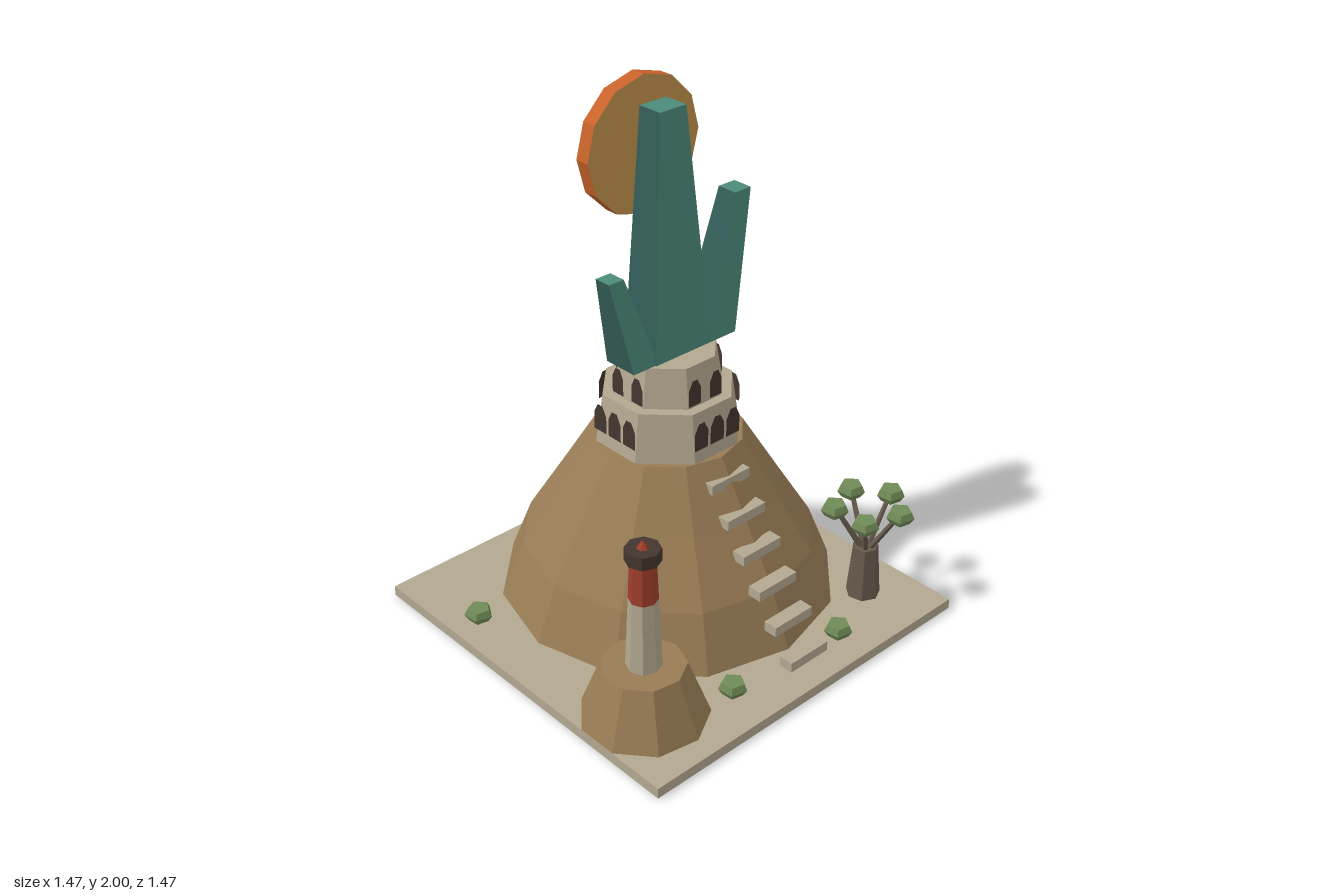
import * as THREE from 'three';

const mat = (name, color) => {
  const m = new THREE.MeshStandardMaterial({ color });
  m.name = name;
  return m;
};

export function createModel() {
  const model = new THREE.Group();
  const stone = mat('stone', 0xb3a891), earth = mat('earth', 0x997c55);
  const teal = mat('teal crystal', 0x4c8a7b), deepTeal = mat('deep teal', 0x345f59);
  const gold = mat('gold', 0xc1924d), rust = mat('rust orange', 0xc9632a);
  const dark = mat('dark brown', 0x43362f), red = mat('brick red', 0x9f3e2b);
  const leaf = mat('leaf green', 0x6f8a56), bark = mat('bark', 0x665a4b);
  dark.side = THREE.DoubleSide;

  // Faceted mesh: every face gets its own normal
  const add = (name, geo, material, x = 0, y = 0, z = 0, parent = model) => {
    const g = geo.index ? geo.toNonIndexed() : geo;
    g.computeVertexNormals();
    const mesh = new THREE.Mesh(g, material);
    mesh.name = name;
    mesh.position.set(x, y, z);
    parent.add(mesh);
    return mesh;
  };
  // Tapered prism standing from y0 to y1
  const prism = (name, rBottom, rTop, y0, y1, sides, material, x, z, turn = 0, parent = model) =>
    add(name, new THREE.CylinderGeometry(rTop, rBottom, y1 - y0, sides).rotateY(turn),
      material, x, (y0 + y1) / 2, z, parent);

  add('basePlate', new THREE.BoxGeometry(1.465, 0.04, 1.465), stone, 0, 0.02, 0);

  // Main hill
  const cx = 0.083, cz = -0.103;
  const hillProfile = [[0, 0.04], [0.631, 0.04], [0.548, 0.25], [0.411, 0.47], [0.279, 0.685], [0, 0.685]]
    .map(p => new THREE.Vector2(...p));
  add('hill', new THREE.LatheGeometry(hillProfile, 12), earth, cx, 0, cz);

  // Steps up the front of the hill
  for (let i = 0; i < 6; i++)
    add('step', new THREE.BoxGeometry(0.183, 0.038, 0.055), stone, cx, 0.065 + i * 0.108, 0.602 - i * 0.081);

  // Octagonal tiers; upright pointed windows stand just off the four main faces
  const tier = (name, y0, y1, a0, a1, count, spacing, w, h, sill) => {
    const group = new THREE.Group();
    group.name = name;
    group.position.set(cx, 0, cz);
    model.add(group);
    const k = 1 / Math.cos(Math.PI / 8);
    prism('tierWall', a0 * k, a1 * k, y0, y1, 8, stone, 0, 0, Math.PI / 8, group);
    const shape = new THREE.Shape([[-w / 2, 0], [w / 2, 0], [w / 2, h * 0.65], [w * 0.2, h], [-w * 0.2, h], [-w / 2, h * 0.65]]
      .map(p => new THREE.Vector2(...p)));
    for (let side = 0; side < 4; side++) {
      for (let i = 0; i < count; i++) {
        const geo = new THREE.ShapeGeometry(shape);
        geo.translate((i - (count - 1) / 2) * spacing, sill, a0 + 0.002);
        geo.rotateY(side * Math.PI / 2);
        add('window', geo, dark, 0, 0, 0, group);
      }
    }
  };
  tier('lowerTier', 0.685, 0.87, 0.252, 0.227, 3, 0.076, 0.064, 0.105, 0.738);
  tier('upperTier', 0.87, 1.018, 0.19, 0.167, 2, 0.1, 0.056, 0.1, 0.877);

  // Crystals: rectangles [x0, x1, z0, z1] at the bottom and top, deeper colour on the flanks
  const crystal = (name, y0, y1, low, high) => {
    const geo = new THREE.BoxGeometry(1, 1, 1), p = geo.attributes.position;
    for (let i = 0; i < p.count; i++) {
      const up = p.getY(i) > 0, r = up ? high : low;
      p.setXYZ(i, r[p.getX(i) > 0 ? 1 : 0], up ? y1 : y0, r[p.getZ(i) > 0 ? 3 : 2]);
    }
    add(name, geo, [deepTeal, deepTeal, teal, teal, teal, teal]);
  };
  crystal('mainCrystal', 1.018, 1.917, [-0.048, 0.212, -0.185, -0.02], [0.002, 0.119, -0.15, -0.052]);
  crystal('leftCrystal', 1.018, 1.543, [0.203, 0.333, -0.17, -0.02], [0.344, 0.42, -0.125, -0.045]);
  crystal('rightCrystal', 1.018, 1.375, [-0.146, -0.03, -0.165, -0.025], [-0.225, -0.16, -0.122, -0.055]);

  // Sun disc behind the main crystal, gold on its front
  add('sunDisc', new THREE.CylinderGeometry(0.248, 0.248, 0.056, 12).rotateX(Math.PI / 2),
    [rust, gold, rust], 0.057, 1.752, -0.217);

  // Small mound with the banded tower
  const tx = -0.518, tz = 0.43;
  prism('mound', 0.227, 0.147, 0.04, 0.25, 9, earth, tx, tz, Math.PI / 18);
  prism('towerShaft', 0.063, 0.051, 0.25, 0.52, 8, stone, tx, tz);
  prism('towerBand', 0.051, 0.045, 0.52, 0.672, 8, red, tx, tz);
  prism('towerCap', 0.062, 0.062, 0.672, 0.72, 8, dark, tx, tz);
  prism('towerTip', 0.022, 0, 0.72, 0.75, 6, red, tx, tz);

  // Foliage clumps: flattened five-sided forms
  const clump = (name, x, y, z) => {
    const profile = [[0, -0.025], [0.037, -0.025], [0.053, 0], [0.042, 0.025], [0, 0.025]]
      .map(p => new THREE.Vector2(...p));
    add(name, new THREE.LatheGeometry(profile, 5).rotateY(Math.PI / 2 + 0.1), leaf, x, y, z);
  };

  // Tree
  const treeX = 0.534, treeZ = 0.48;
  prism('trunk', 0.064, 0.047, 0.04, 0.25, 7, bark, treeX, treeZ);
  const up = new THREE.Vector3(0, 1, 0);
  for (let i = 0; i < 5; i++) {
    const a = i * Math.PI * 2 / 5, dx = Math.cos(a), dz = Math.sin(a);
    const from = new THREE.Vector3(treeX + dx * 0.015, 0.24, treeZ + dz * 0.015);
    const to = new THREE.Vector3(treeX + dx * 0.115, 0.41, treeZ + dz * 0.115);
    const dir = to.clone().sub(from);
    const branch = add('branch', new THREE.CylinderGeometry(0.009, 0.012, dir.length(), 5), bark);
    branch.position.copy(from).add(to).multiplyScalar(0.5);
    branch.quaternion.setFromUnitVectors(up, dir.normalize());
    clump('treeFoliage', treeX + dx * 0.124, 0.42, treeZ + dz * 0.124);
  }

  // Bushes on the ground
  for (const [x, z] of [[-0.247, 0.58], [0.252, 0.61], [-0.635, -0.335], [0.65, -0.085]])
    clump('bush', x, 0.088, z);

  return model;
}
